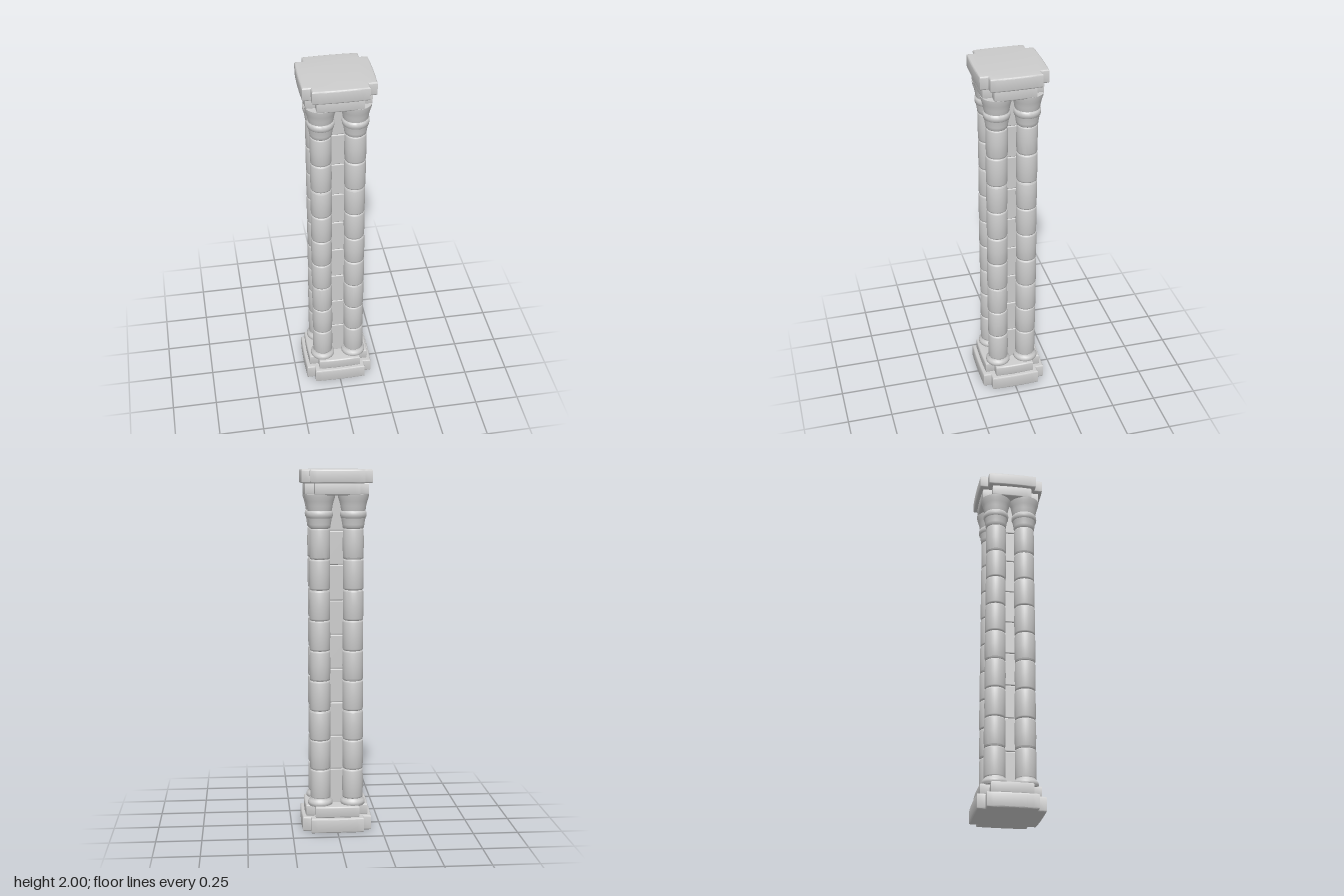
import * as THREE from 'three';
import { RoundedBoxGeometry } from 'three/addons/geometries/RoundedBoxGeometry.js';
import { toCreasedNormals } from 'three/addons/utils/BufferGeometryUtils.js';

const stone = new THREE.MeshStandardMaterial({ color: 0xcccccc });

// small repeatable wobble in -1..1 for hand-cut irregularity
const wobble = (n) => Math.sin(n * 12.9898 + 4.1) * Math.cos(n * 7.233);

function add(parent, name, geometry) {
  const mesh = new THREE.Mesh(geometry, stone);
  mesh.name = name;
  parent.add(mesh);
  return mesh;
}

// slab with notched corners, slightly bowed sides and softened edges
function slab(hx, hz, nx, nz, y0, y1) {
  const bow = 0.004, b = 0.008;
  const s = new THREE.Shape();
  s.moveTo(nx, -nz);
  s.lineTo(hx - bow, -nz);
  s.quadraticCurveTo(hx + bow, 0, hx - bow, nz);
  s.lineTo(nx, nz);
  s.lineTo(nx, hz - bow);
  s.quadraticCurveTo(0, hz + bow, -nx, hz - bow);
  s.lineTo(-nx, nz);
  s.lineTo(-hx + bow, nz);
  s.quadraticCurveTo(-hx - bow, 0, -hx + bow, -nz);
  s.lineTo(-nx, -nz);
  s.lineTo(-nx, -hz + bow);
  s.quadraticCurveTo(0, -hz - bow, nx, -hz + bow);
  s.closePath();
  const g = new THREE.ExtrudeGeometry(s, {
    depth: y1 - y0 - 2 * b, bevelEnabled: true, bevelSize: b, bevelThickness: b,
    bevelOffset: -b, bevelSegments: 3, curveSegments: 8,
  });
  g.rotateX(-Math.PI / 2);
  g.translate(0, y0 + b, 0);
  return toCreasedNormals(g, 0.7);
}

function turned(points, segments = 32) {
  const g = new THREE.LatheGeometry(points.map(([r, y]) => new THREE.Vector2(r, y)), segments);
  return toCreasedNormals(g, 0.9);
}

// one drum of a shaft, with rounded rims
function drum(y0, y1, r) {
  const e = 0.007;
  return turned([
    [0, y0], [r - 0.007, y0], [r - 0.002, y0 + e * 0.4], [r, y0 + e * 1.5],
    [r + 0.001, (y0 + y1) / 2],
    [r, y1 - e * 1.5], [r - 0.002, y1 - e * 0.4], [r - 0.007, y1], [0, y1],
  ]);
}

function column(seed) {
  const g = new THREE.Group();
  g.name = 'column';
  // moulded foot
  add(g, 'columnFoot', turned([
    [0, 0.14], [0.064, 0.14], [0.069, 0.148], [0.069, 0.16], [0.064, 0.17], [0.057, 0.176], [0.055, 0.185], [0, 0.185],
  ]));
  // stacked drums
  const count = 9, bottom = 0.18, top = 1.685, step = (top - bottom) / count;
  for (let i = 0; i < count; i++) {
    const n = seed * 17 + i;
    const m = add(g, 'shaftDrum', drum(bottom + i * step, bottom + (i + 1) * step, 0.0565 + 0.001 * wobble(n)));
    m.position.set(0.0015 * wobble(n + 0.3), 0, 0.0015 * wobble(n + 0.7));
  }
  // flared capital: neck, rounded ring and bell
  add(g, 'capitalNeck', turned([
    [0, 1.683], [0.052, 1.683], [0.058, 1.69], [0.06, 1.705], [0.064, 1.73], [0.068, 1.75], [0, 1.75],
  ]));
  add(g, 'capitalRing', turned([
    [0, 1.738], [0.064, 1.738], [0.07, 1.744], [0.072, 1.758], [0.071, 1.772], [0.065, 1.779], [0, 1.779],
  ]));
  add(g, 'capitalBell', turned([
    [0, 1.775], [0.064, 1.775], [0.067, 1.785], [0.07, 1.805], [0.076, 1.83], [0.083, 1.852], [0.085, 1.868], [0, 1.868],
  ]));
  return g;
}

export function createModel() {
  const model = new THREE.Group();
  model.name = 'clusteredPillar';

  // stepped base and stepped top
  add(model, 'baseSlab', slab(0.195, 0.185, 0.147, 0.137, 0, 0.083));
  add(model, 'basePlinth', slab(0.176, 0.166, 0.122, 0.112, 0.081, 0.145));
  add(model, 'capPlinth', slab(0.176, 0.166, 0.122, 0.112, 1.863, 1.93));
  add(model, 'capSlab', slab(0.195, 0.185, 0.147, 0.137, 1.926, 2));

  // masonry core between the columns
  const joints = [0.14, 0.34, 0.53, 0.72, 0.91, 1.1, 1.29, 1.485, 1.67, 1.87];
  for (let i = 0; i < joints.length - 1; i++) {
    const h = joints[i + 1] - joints[i];
    const w = 0.003 * wobble(i + 0.5);
    const m = add(model, 'coreBlock', new RoundedBoxGeometry(0.158 + w, h, 0.146 - w, 3, 0.007));
    m.position.y = joints[i] + h / 2;
  }

  // four corner columns
  let seed = 1;
  for (const sx of [-1, 1]) {
    for (const sz of [-1, 1]) {
      const c = column(seed++);
      c.position.set(sx * 0.091, 0, sz * 0.082);
      model.add(c);
    }
  }
  return model;
}
